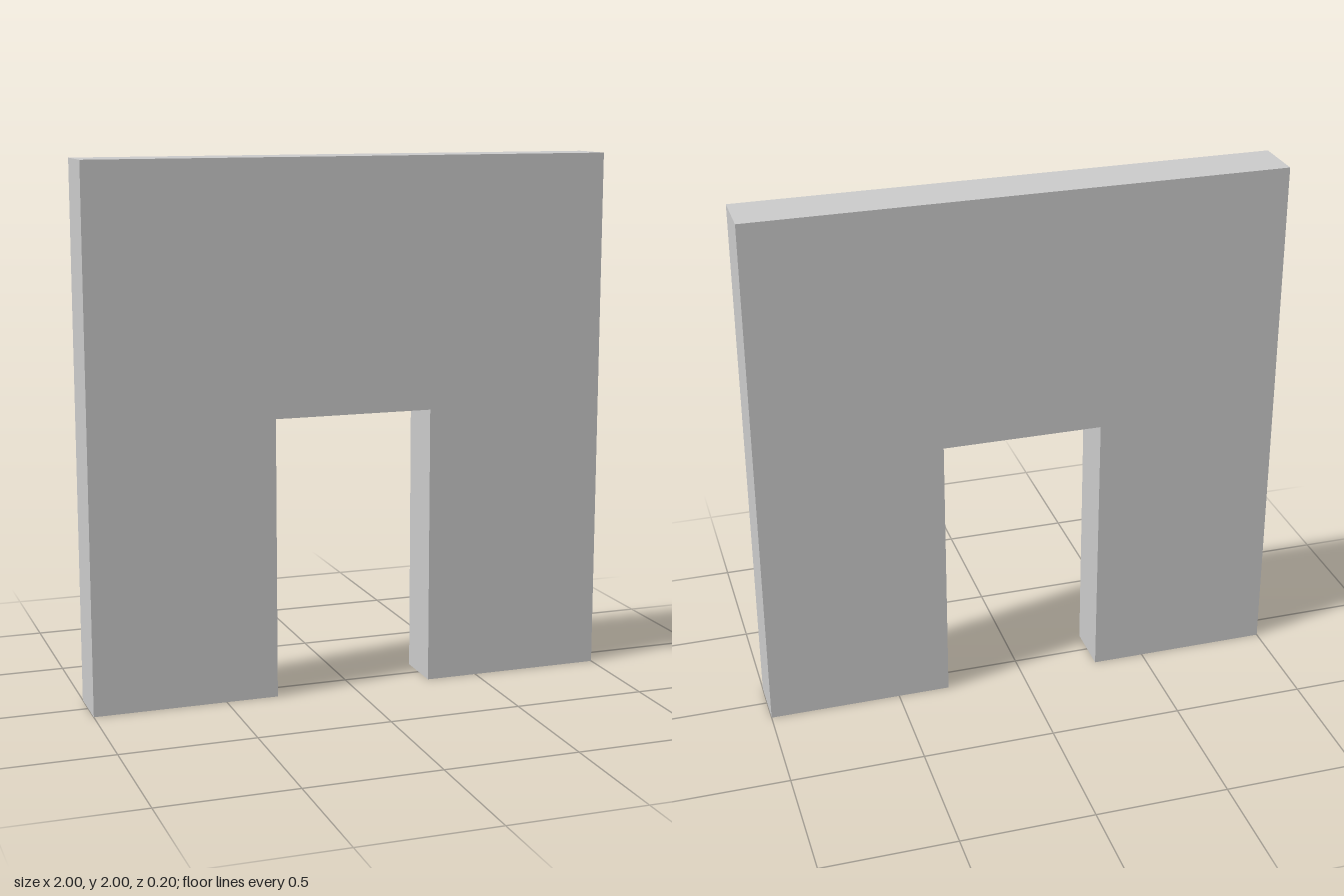
import * as THREE from 'three';

const WIDTH = 2, HEIGHT = 2, DEPTH = 0.2;
const DOOR_WIDTH = 0.605, DOOR_HEIGHT = 1.055;

export function createModel() {
  const group = new THREE.Group();
  group.name = 'doorwayWall';

  // Wall outline, with the doorway notched up from the floor
  const w = WIDTH / 2, d = DOOR_WIDTH / 2;
  const outline = new THREE.Shape([
    [-w, 0], [-d, 0], [-d, DOOR_HEIGHT], [d, DOOR_HEIGHT],
    [d, 0], [w, 0], [w, HEIGHT], [-w, HEIGHT],
  ].map(([x, y]) => new THREE.Vector2(x, y)));

  // Flat slab centred on z = 0
  const geometry = new THREE.ExtrudeGeometry(outline, { depth: DEPTH, bevelEnabled: false });
  geometry.translate(0, 0, -DEPTH / 2);

  const wall = new THREE.Mesh(geometry, new THREE.MeshStandardMaterial({ color: 0xcccccc }));
  wall.name = 'wall';
  group.add(wall);
  return group;
}
